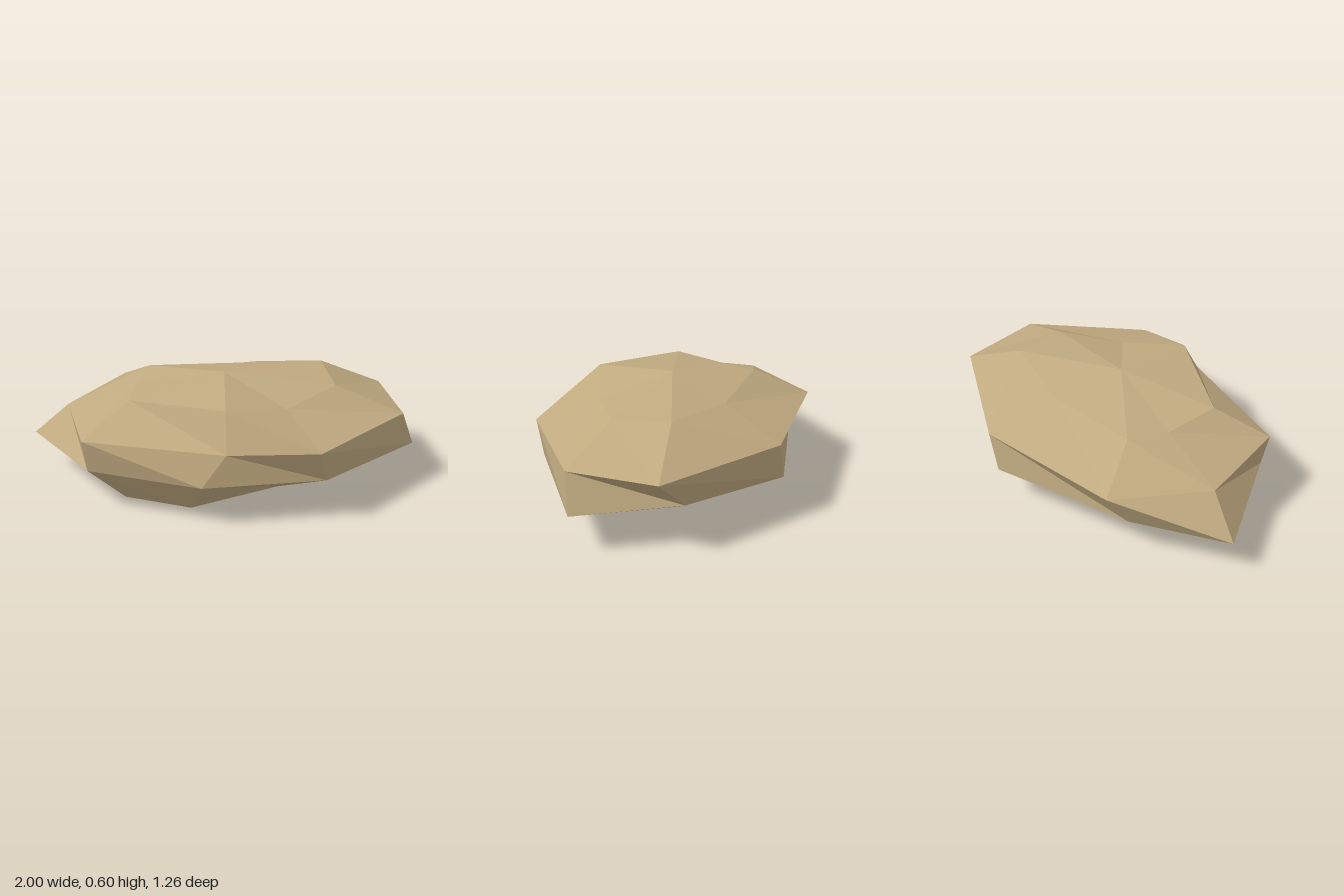
import * as THREE from 'three';

// Cross-sections from top to bottom; each runs right side -> front -> left side -> back, as [x, y, z]
const RINGS = [
  [[-0.45, 0.51, -0.03], [-0.47, 0.53, 0.26], [0, 0.565, 0.5], [0.31, 0.5, 0.33],
    [0.58, 0.535, 0.1], [0.54, 0.56, -0.2], [0.12, 0.52, -0.29], [-0.38, 0.53, -0.24]],
  [[-0.81, 0.385, -0.06], [-0.7, 0.39, 0.44], [0, 0.38, 0.605], [0.45, 0.39, 0.625],
    [0.93, 0.395, 0.155], [0.88, 0.395, -0.305], [0.23, 0.4, -0.635], [-0.53, 0.39, -0.5]],
  [[-1, 0.205, -0.11], [-0.68, 0.22, 0.415], [-0.12, 0.22, 0.63], [0.49, 0.22, 0.56],
    [1, 0.205, 0.105], [0.68, 0.215, -0.34], [0.17, 0.205, -0.635], [-0.56, 0.21, -0.39]],
  [[-0.53, 0.05, -0.04], [-0.5, 0.035, 0.34], [-0.17, 0.04, 0.48], [0.27, 0.09, 0.36],
    [0.6, 0.065, 0.105], [0.46, 0.07, -0.18], [0.13, 0.06, -0.29], [-0.38, 0.06, -0.23]],
];
const TOP = [0.01, 0.6, 0.06];
const BOTTOM = [0.01, 0, 0.06];

// Skins the rings with triangles and closes both ends with fans
function rockGeometry() {
  const positions = [];
  const face = (...corners) => corners.forEach((p) => positions.push(...p));
  const last = RINGS[RINGS.length - 1];
  const n = last.length;
  for (let i = 0; i < n; i++) {
    const j = (i + 1) % n;
    face(TOP, RINGS[0][i], RINGS[0][j]);
    for (let r = 0; r < RINGS.length - 1; r++) {
      const upper = RINGS[r], lower = RINGS[r + 1];
      face(upper[j], upper[i], lower[j]);
      face(upper[i], lower[i], lower[j]);
    }
    face(last[j], last[i], BOTTOM);
  }
  const geometry = new THREE.BufferGeometry();
  geometry.setAttribute('position', new THREE.Float32BufferAttribute(positions, 3));
  geometry.computeVertexNormals();
  return geometry;
}

export function createModel() {
  const sandstone = new THREE.MeshStandardMaterial({ color: 0xc0aa80, flatShading: true });
  sandstone.name = 'sandstone';

  // Flat faceted boulder
  const rock = new THREE.Mesh(rockGeometry(), sandstone);
  rock.name = 'rock';

  const model = new THREE.Group();
  model.name = 'flatRock';
  model.add(rock);
  return model;
}
